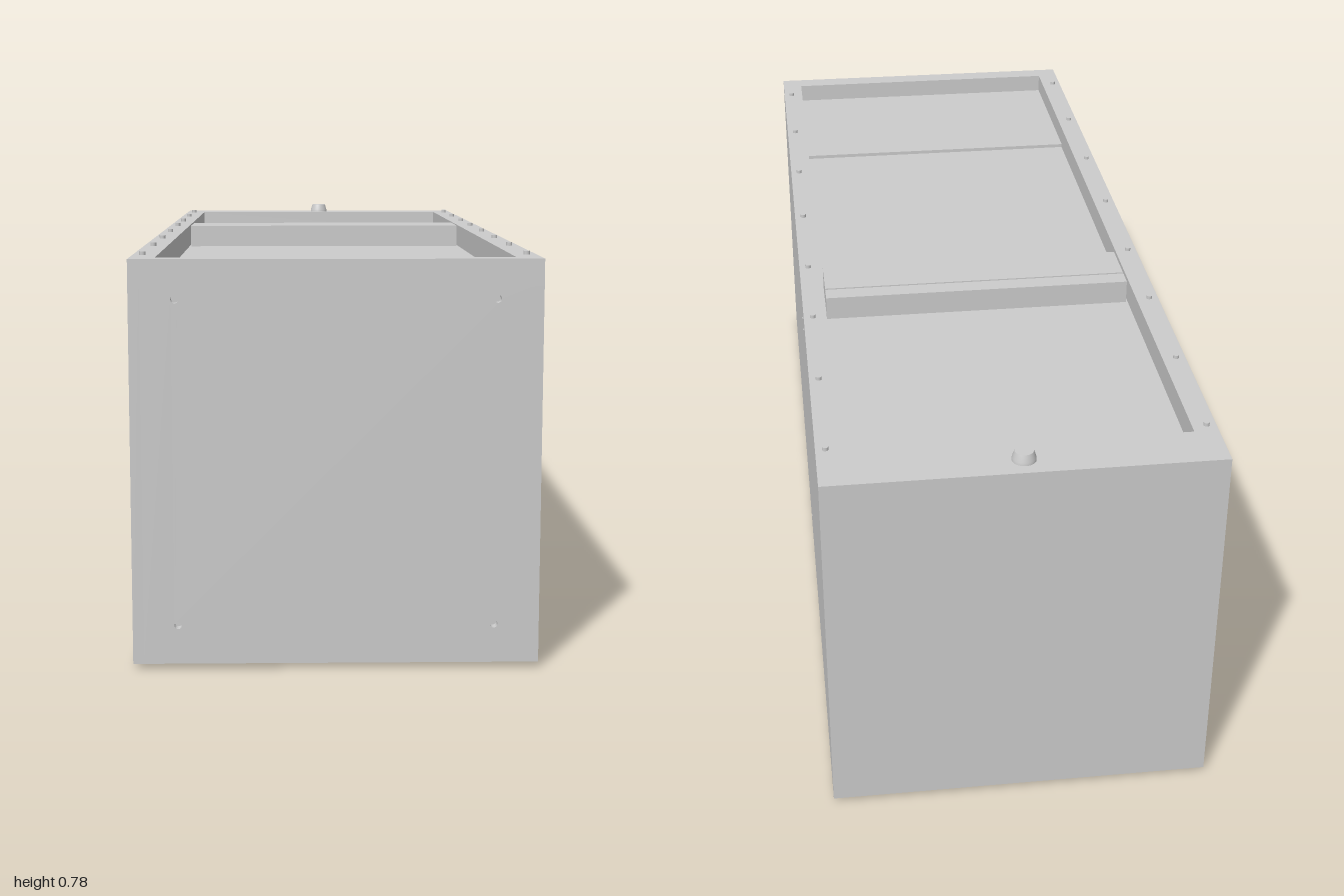
import * as THREE from 'three';

const W = 0.377, L = 1, Y0 = 0.01, TOP = 0.762, FLOOR = 0.712, T = 0.02;

export function createModel() {
  const model = new THREE.Group();
  const grey = new THREE.MeshStandardMaterial({ color: 0xcccccc });

  const add = (name, geometry, x = 0, y = 0, z = 0) => {
    const mesh = new THREE.Mesh(geometry, grey);
    mesh.name = name;
    mesh.position.set(x, y, z);
    model.add(mesh);
    return mesh;
  };
  // Box given by its limits
  const box = (name, x0, x1, y0, y1, z0, z1) =>
    add(name, new THREE.BoxGeometry(x1 - x0, y1 - y0, z1 - z0),
      (x0 + x1) / 2, (y0 + y1) / 2, (z0 + z1) / 2);
  const rect = (target, x0, x1, y0, y1) =>
    target.moveTo(x0, y0).lineTo(x1, y0).lineTo(x1, y1).lineTo(x0, y1).closePath();
  const extrude = (shape, depth) =>
    new THREE.ExtrudeGeometry(shape, { depth, bevelEnabled: false, curveSegments: 10 });
  // Upright wall panel with small round holes
  const panel = (halfWidth, holes, r) => {
    const shape = rect(new THREE.Shape(), -halfWidth, halfWidth, Y0, FLOOR);
    for (const [x, y] of holes) {
      shape.holes.push(new THREE.Path().absarc(x, y, r, 0, Math.PI * 2, true));
    }
    return extrude(shape, T);
  };

  // Body core; its top is the recessed floor
  box('body', -W + T, W - T, Y0, FLOOR, -L + T, L - T);

  // Front and back walls
  const frontHoles = [-0.293, 0.293].flatMap(x => [0.083, 0.689].map(y => [x, y]));
  add('frontWall', panel(W - T, frontHoles, 0.007), 0, 0, L - T);
  add('backWall', panel(W - T, [], 0), 0, 0, -L).name = 'backWall';

  // Side walls with paired holes
  for (const s of [-1, 1]) {
    const holes = [-0.165, -0.225].flatMap(z => [0.115, 0.655].map(y => [-s * z, y]));
    const wall = add(s > 0 ? 'leftWall' : 'rightWall', panel(L, holes, 0.008), s * (W - T), 0, 0);
    wall.rotation.y = s * Math.PI / 2;
  }

  // Top frame around the opening (shape y becomes -z)
  const rim = rect(new THREE.Shape(), -W, W, -L, L);
  rim.holes.push(rect(new THREE.Path(), -0.33, 0.33, -0.955, 0.9));
  add('topFrame', extrude(rim, TOP - FLOOR), 0, FLOOR, 0).rotation.x = -Math.PI / 2;

  // Raised front floor plate and the split cross bar
  box('floorPlate', -0.33, 0.33, FLOOR, FLOOR + 0.008, 0.57, 0.955);
  box('crossBarBack', -0.326, 0.326, FLOOR, TOP, -0.29, -0.251);
  box('crossBarFront', -0.326, 0.326, FLOOR, TOP, -0.246, -0.145);

  // Pins along the frame and under the base
  const pin = new THREE.CylinderGeometry(0.006, 0.006, 0.012, 12);
  for (const x of [-0.358, 0.358]) {
    for (const z of [-0.88, -0.625, -0.37, -0.14, 0.12, 0.375, 0.63, 0.89]) {
      add('topPin', pin, x, TOP + 0.001, z);
    }
    for (const z of [-0.365, 0.89]) add('basePin', pin, x, 0.006, z);
  }

  // Tapered knob at the back
  const profile = [[0.023, 0], [0.0225, 0.006], [0.018, 0.02]];
  add('knob', new THREE.LatheGeometry(profile.map(p => new THREE.Vector2(...p)), 32), 0, TOP, -0.955);
  add('knobCap', new THREE.CircleGeometry(0.018, 32), 0, TOP + 0.02, -0.955).rotation.x = -Math.PI / 2;

  return model;
}
